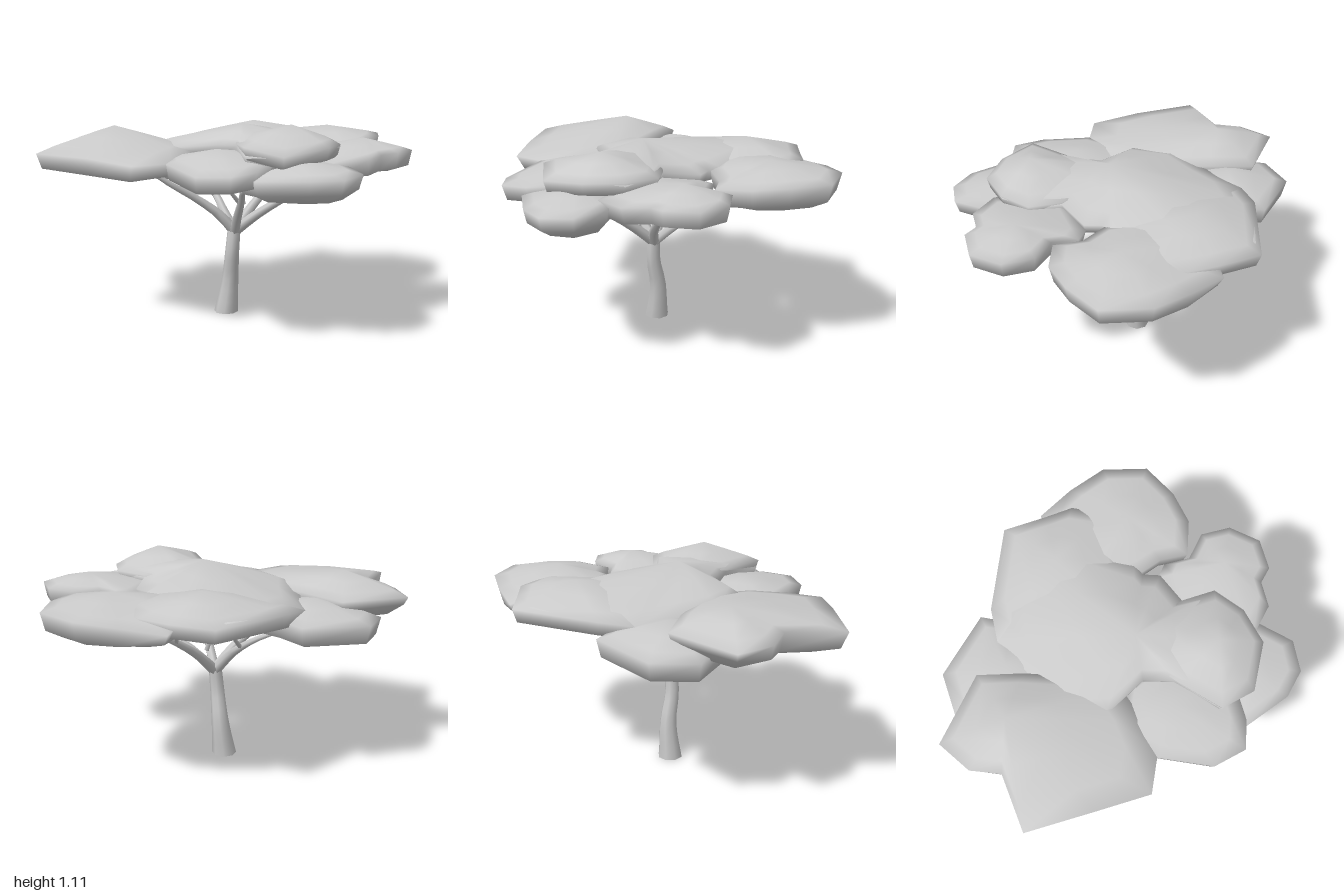
import * as THREE from 'three';

const material = new THREE.MeshStandardMaterial({ color: 0xcccccc, side: THREE.DoubleSide });

// Tapered limb swept along a few points
function limb(name, points, r0, r1, sides, steps, flare = 0) {
  const curve = new THREE.CatmullRomCurve3(points.map(p => new THREE.Vector3(...p)));
  const geo = new THREE.TubeGeometry(curve, steps, 1, sides, false);
  const pos = geo.attributes.position, v = new THREE.Vector3();
  for (let i = 0; i <= steps; i++) {
    const t = i / steps, c = curve.getPointAt(t);
    const r = r0 + (r1 - r0) * t + flare * (1 - t) ** 3;
    for (let j = 0; j <= sides; j++) {
      const k = i * (sides + 1) + j;
      v.fromBufferAttribute(pos, k).sub(c).multiplyScalar(r).add(c);
      if (flare && i === 0) v.y = 0;
      pos.setXYZ(k, v.x, v.y, v.z);
    }
  }
  const mesh = new THREE.Mesh(geo, material);
  mesh.name = name;
  return mesh;
}

// Flat leafy cushion: apex [x, y, z], lowest height, rim thickness,
// outline of [x, z, rim height, own rim thickness if different]
function leafPad(name, [cx, cy, cz], bottom, edge, outline) {
  const pts = outline.slice().sort((a, b) =>
    Math.atan2(a[1] - cz, a[0] - cx) - Math.atan2(b[1] - cz, b[0] - cx));
  const n = pts.length, verts = [cx, bottom + 0.02, cz], index = [];
  // rings from the underside, round the rim, to the top
  const rings = [
    [0.7, () => bottom],
    [0.94, (y, t) => y - t],
    [1, y => y],
    [0.78, y => y + (cy - y) * 0.28],
    [0.42, y => y + (cy - y) * 0.62],
  ];
  for (const [s, height] of rings)
    for (const [x, z, y, t = edge] of pts) verts.push(cx + (x - cx) * s, height(y, t), cz + (z - cz) * s);
  const apex = verts.length / 3;
  verts.push(cx, cy, cz);
  for (let i = 0; i < n; i++) {
    const j = (i + 1) % n;
    index.push(0, 1 + i, 1 + j, apex, apex - n + j, apex - n + i);
    for (let r = 0; r < rings.length - 1; r++) {
      const a = 1 + r * n + i, b = 1 + r * n + j;
      index.push(a, a + n, b, b, a + n, b + n);
    }
  }
  const geo = new THREE.BufferGeometry();
  geo.setAttribute('position', new THREE.Float32BufferAttribute(verts, 3));
  geo.setIndex(index);
  geo.computeVertexNormals();
  const mesh = new THREE.Mesh(geo, material);
  mesh.name = name;
  return mesh;
}

export function createModel() {
  const tree = new THREE.Group();
  tree.name = 'umbrellaTree';

  // Trunk, leaning a little, with a flared foot
  tree.add(limb('trunk', [[-0.098, 0, 0.03], [-0.08, 0.2, 0.013], [-0.045, 0.37, 0.024], [-0.035, 0.52, 0.015]],
    0.046, 0.036, 8, 8, 0.023));
  const foot = new THREE.Mesh(new THREE.CircleGeometry(0.068, 8).rotateX(Math.PI / 2), material);
  foot.position.set(-0.098, 0.001, 0.03);
  foot.name = 'trunkBase';
  tree.add(foot);

  // Main branches and their side twigs
  const branches = new THREE.Group();
  branches.name = 'branches';
  const fork = [-0.035, 0.48, 0.015];
  const boughs = [
    [fork, [0.09, 0.59, -0.05], [0.23, 0.7, -0.15], [0.35, 0.79, -0.24], [0.45, 0.88, -0.3]],
    [fork, [0.08, 0.59, 0.08], [0.22, 0.7, 0.16], [0.34, 0.78, 0.24], [0.46, 0.81, 0.28]],
    [fork, [-0.055, 0.6, -0.12], [-0.08, 0.7, -0.27], [-0.08, 0.79, -0.43], [-0.09, 0.86, -0.64]],
    [fork, [-0.13, 0.58, 0.02], [-0.25, 0.67, 0.0], [-0.36, 0.74, 0.02], [-0.48, 0.8, 0.08]],
    [fork, [-0.06, 0.58, 0.1], [-0.1, 0.68, 0.23], [-0.12, 0.77, 0.38], [-0.15, 0.87, 0.52]],
  ];
  for (const b of boughs) branches.add(limb('branch', b, 0.031, 0.01, 6, 8));
  const twigs = [
    [[0.18, 0.67, 0.13], [0.2, 0.76, 0.22], [0.24, 0.86, 0.3]],
    [[-0.08, 0.7, -0.27], [0.01, 0.75, -0.3], [0.11, 0.8, -0.33]],
    [[-0.08, 0.72, -0.3], [-0.17, 0.79, -0.38], [-0.26, 0.88, -0.44]],
    [[-0.22, 0.65, 0.0], [-0.32, 0.73, 0.1], [-0.44, 0.8, 0.2]],
    [[-0.25, 0.67, 0.0], [-0.33, 0.77, -0.13], [-0.42, 0.89, -0.22]],
    [[-0.1, 0.68, 0.23], [-0.22, 0.76, 0.32], [-0.32, 0.86, 0.42]],
    [[-0.05, 0.62, -0.06], [-0.1, 0.74, -0.06], [-0.16, 0.9, -0.05]],
  ];
  for (const t of twigs) branches.add(limb('twig', t, 0.013, 0.006, 5, 5));
  tree.add(branches);

  // Overlapping leaf pads
  const canopy = new THREE.Group();
  canopy.name = 'canopy';
  canopy.add(
    leafPad('centrePad', [0.06, 1.09, 0.03], 0.9, 0.06, [
      [0.69, 0.0, 1.0], [0.65, 0.25, 0.97], [0.5, 0.35, 0.98], [0.27, 0.23, 1.0], [0.11, 0.23, 0.99],
      [-0.07, 0.42, 0.97], [-0.33, 0.36, 0.97], [-0.48, 0.2, 0.95], [-0.64, 0.05, 0.94],
      [-0.68, -0.12, 0.96], [-0.65, -0.5, 0.98], [-0.3, -0.5, 1.0], [0.03, -0.41, 0.98],
      [0.08, -0.36, 0.97], [0.17, -0.36, 0.97], [0.29, -0.21, 0.99], [0.45, -0.26, 1.0], [0.6, -0.17, 1.0]]),
    leafPad('highPad', [0.47, 1.11, 0.04], 0.94, 0.06, [
      [0.7, 0.0, 1.01], [0.66, 0.25, 0.98], [0.5, 0.36, 1.02], [0.27, 0.23, 1.01], [0.1, 0.12, 1.02],
      [0.1, -0.08, 1.02], [0.29, -0.21, 1.0], [0.45, -0.27, 1.01], [0.6, -0.17, 1.01]]),
    leafPad('backRightPad', [-0.37, 1.06, -0.38], 0.89, 0.07, [
      [-0.67, -0.58, 0.97], [-0.69, -0.12, 0.96], [-0.64, 0.05, 0.94], [-0.42, 0.05, 0.96],
      [-0.1, -0.15, 0.99], [-0.02, -0.41, 0.98], [-0.12, -0.7, 0.99], [-0.32, -0.73, 0.98],
      [-0.46, -0.67, 0.97]]),
    leafPad('backPad', [-0.02, 1.04, -0.66], 0.845, 0.09, [
      [-0.34, -0.85, 0.96], [-0.17, -0.98, 0.98], [0.07, -1.0, 0.98], [0.22, -0.85, 0.98],
      [0.31, -0.69, 0.97], [0.31, -0.5, 0.95], [0.17, -0.46, 0.95], [0.06, -0.36, 0.97],
      [-0.2, -0.3, 0.98], [-0.42, -0.5, 0.98], [-0.49, -0.7, 0.93, 0.05]]),
    leafPad('backLeftPad', [0.5, 1.02, -0.43], 0.86, 0.08, [
      [0.53, -0.67, 0.96], [0.69, -0.6, 0.96], [0.74, -0.44, 0.96], [0.7, -0.36, 0.95],
      [0.74, -0.23, 0.94], [0.66, -0.06, 0.93], [0.42, -0.06, 0.95], [0.25, -0.15, 0.95],
      [0.16, -0.36, 0.94], [0.19, -0.44, 0.94], [0.32, -0.48, 0.95], [0.38, -0.62, 0.96]]),
    leafPad('leftPad', [0.6, 0.96, 0.12], 0.775, 0.07, [
      [0.91, 0.1, 0.89], [0.87, -0.06, 0.9], [0.7, -0.14, 0.91], [0.5, -0.08, 0.9],
      [0.32, 0.12, 0.88], [0.44, 0.34, 0.86], [0.64, 0.4, 0.88], [0.84, 0.24, 0.89]]),
    leafPad('frontLeftPad', [0.25, 0.99, 0.34], 0.84, 0.08, [
      [0.63, 0.38, 0.92], [0.63, 0.53, 0.91], [0.48, 0.62, 0.9], [0.2, 0.6, 0.93],
      [0.0, 0.5, 0.93], [0.02, 0.25, 0.94], [0.25, 0.05, 0.95], [0.56, 0.18, 0.94]]),
    leafPad('frontPad', [-0.54, 1.06, 0.48], 0.85, 0.07, [
      [-0.86, 0.6, 0.95, 0.04], [-0.72, 0.24, 0.96, 0.05], [-0.48, 0.22, 0.97], [-0.26, 0.22, 0.96],
      [0.0, 0.26, 0.95], [0.12, 0.42, 0.95], [0.2, 0.58, 0.93], [0.18, 0.78, 0.93, 0.08],
      [-0.08, 0.88, 0.95, 0.09], [-0.41, 1.0, 0.95, 0.08], [-0.54, 0.73, 0.96, 0.09], [-0.7, 0.72, 0.95]]),
    leafPad('rightPad', [-0.58, 0.97, 0.18], 0.78, 0.09, [
      [-0.91, 0.22, 0.88], [-0.75, -0.1, 0.9], [-0.6, -0.08, 0.9], [-0.32, -0.04, 0.88],
      [-0.14, 0.15, 0.87], [-0.22, 0.38, 0.87], [-0.5, 0.48, 0.88], [-0.82, 0.43, 0.87]]),
  );
  tree.add(canopy);
  return tree;
}
